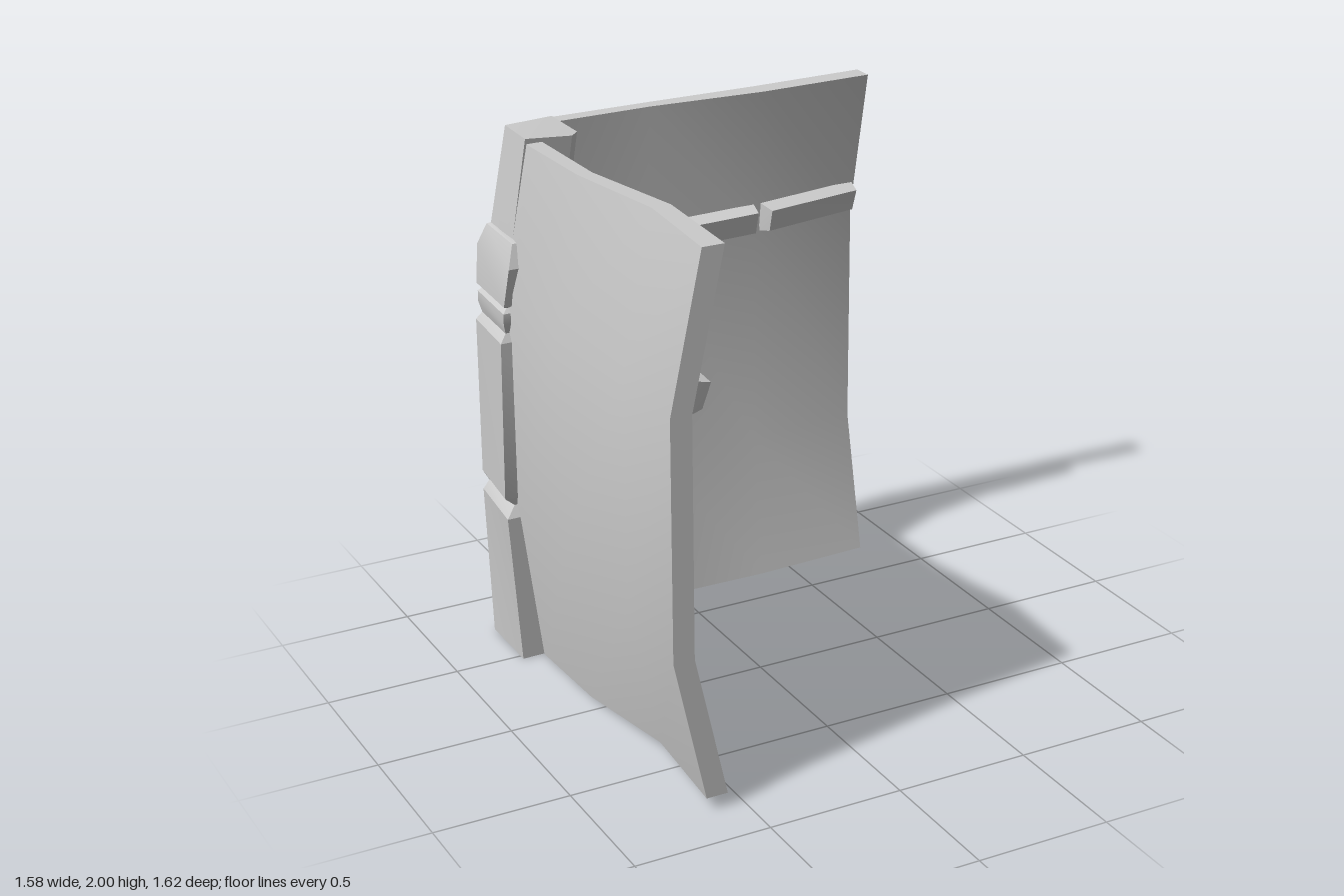
import * as THREE from 'three';
import { toCreasedNormals } from 'three/addons/utils/BufferGeometryUtils.js';

const material = new THREE.MeshStandardMaterial({ color: 0xcccccc });

// Skin a list of closed rings of [x, y, z] points and cap both ends.
function loft(name, rings) {
  const n = rings[0].length;
  const last = (rings.length - 1) * n;
  const pts = rings.flat();
  const faces = [];
  for (let r = 0; r < rings.length - 1; r++) {
    for (let i = 0; i < n; i++) {
      const a = r * n + i, b = r * n + (i + 1) % n;
      faces.push([a, b, b + n], [a, b + n, a + n]);
    }
  }
  // Caps zip opposite sides of the ring together, so bent sections work too
  for (let i = 0; i < Math.floor((n - 1) / 2); i++) {
    const j = n - 1 - i;
    for (const t of [[i, i + 1, j], [i + 1, j - 1, j]]) {
      if (new Set(t).size < 3) continue;
      faces.push([t[2], t[1], t[0]], t.map((k) => k + last));
    }
  }
  // Turn the faces outward, whichever way the rings run
  const v = pts.map((p) => new THREE.Vector3(...p));
  const volume = faces.reduce((s, [a, b, c]) => s + v[a].dot(v[b].clone().cross(v[c])), 0);
  if (volume < 0) faces.forEach((f) => f.reverse());

  const geo = new THREE.BufferGeometry();
  geo.setAttribute('position', new THREE.Float32BufferAttribute(pts.flat(), 3));
  geo.setIndex(faces.flat());
  const mesh = new THREE.Mesh(toCreasedNormals(geo, 0.45), material);
  mesh.name = name;
  return mesh;
}

// Stations: [along, outer at middle, outer at top, inner at top, top y, bottom y]
const backStations = [
  [-0.64, 0.745, 0.7, 0.64, 1.98, 0.0],
  [-0.45, 0.765, 0.735, 0.675, 1.98, 0.0],
  [-0.09, 0.8, 0.725, 0.67, 1.985, 0.012],
  [0.35, 0.775, 0.71, 0.63, 1.99, 0.03],
  [0.785, 0.81, 0.695, 0.615, 2.0, 0.05],
];
const sideStations = [
  [-0.64, 0.74, 0.655, 0.6, 1.98, 0.0],
  [-0.45, 0.74, 0.66, 0.6, 1.98, 0.0],
  [-0.07, 0.75, 0.655, 0.6, 1.985, 0.012],
  [0.37, 0.71, 0.595, 0.525, 1.99, 0.03],
  [0.81, 0.757, 0.64, 0.56, 2.0, 0.05],
];

// Wall whose middle bulges outward, with a segmented ledge on its inner face
function buildWall(name, stations, place) {
  const wall = new THREE.Group();
  wall.name = name;
  wall.add(loft(name + 'Panel', stations.map(([s, mid, top, inner, y1, y0]) => {
    const t = 0.078;
    return [
      [top, y0], [mid, 0.585], [mid, 1.45], [top, y1],
      [inner, y1], [mid - t, 1.45], [mid - t, 0.585], [inner, y0],
    ].map(([d, y]) => place(s, d, y));
  })));

  const ledgeTop = [0, 1.525, 1.53, 1.55, 1.565];
  for (let i = 1; i < stations.length - 1; i++) {
    const ends = [[i, 0.012, 0.04], [i + 1, -0.004, -0.018]];
    wall.add(loft(name + 'Ledge', ends.map(([k, back, front]) => {
      const [s, mid, , inner] = stations[k];
      const y = ledgeTop[k];
      const face = mid - 0.078;
      const high = face + (inner - face) * 0.18;
      return [
        place(s + back, high + 0.03, y), place(s + front, high - 0.055, y - 0.025),
        place(s + front, face - 0.045, y - 0.11), place(s + back, face + 0.03, y - 0.125),
      ];
    })));
  }
  return wall;
}

// Corner post profile: [y, outer corner, outer flank, inner x, inner z]
const postProfile = [
  [0, 0.745, 0.745, 0.455, 0.48],
  [0.585, 0.76, 0.79, 0.43, 0.468],
  [0.625, 0.742, 0.75, 0.475, 0.495],
  [0.66, 0.76, 0.79, 0.46, 0.485],
  [1.26, 0.76, 0.782, 0.487, 0.487],
  [1.29, 0.742, 0.755, 0.5, 0.505],
  [1.33, 0.752, 0.768, 0.463, 0.487],
  [1.37, 0.752, 0.768, 0.463, 0.487],
  [1.385, 0.738, 0.748, 0.485, 0.505],
  [1.4, 0.755, 0.77, 0.447, 0.475],
  [1.55, 0.748, 0.762, 0.417, 0.437],
  [1.63, 0.72, 0.73, 0.455, 0.475],
  [1.635, 0.708, 0.712, 0.49, 0.51],
  [2.0, 0.66, 0.665, 0.45, 0.48],
];

function buildPost() {
  return loft('cornerPost', postProfile.map(([y, corner, flank, ix, iz]) => {
    const dip = y === 2 ? y - 0.015 : y; // the top leans down toward the inside
    return [
      [-corner, y, -corner],
      [-ix - 0.02, y, -flank - 0.02],
      [-ix, dip, -iz - 0.035],
      [-ix - 0.035, dip, -iz],
      [-flank, y, -iz + 0.005],
    ];
  }));
}

export function createModel() {
  const model = new THREE.Group();
  model.name = 'wallCorner';
  model.add(
    buildWall('backWall', backStations, (s, d, y) => [s, y, -d]),
    buildWall('sideWall', sideStations, (s, d, y) => [-d, y, s]),
    buildPost(),
  );
  return model;
}
